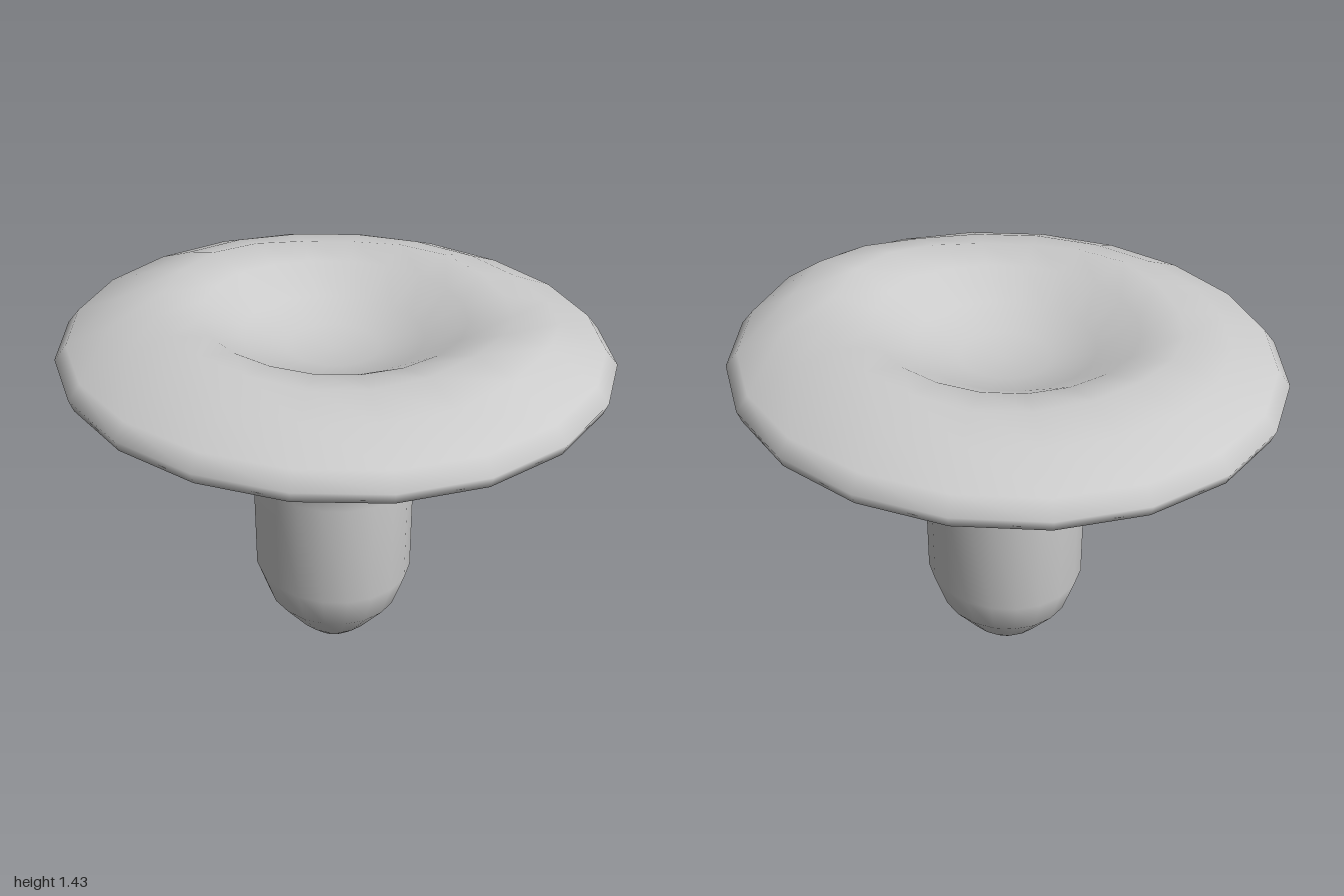
import * as THREE from 'three';
import { mergeVertices } from 'three/addons/utils/BufferGeometryUtils.js';

const SIDES = 20;
const DEPTH = 0.945; // slightly oval plan

// Smooth lathe with an optional height offset by radius and angle
function turned(name, profile, lift = () => 0) {
  let geo = new THREE.LatheGeometry(profile.map(([r, y]) => new THREE.Vector2(r, y)), SIDES);
  geo.deleteAttribute('uv');
  geo.deleteAttribute('normal');
  const p = geo.attributes.position;
  for (let i = 0; i < p.count; i++) {
    const x = p.getX(i), y = p.getY(i), z = p.getZ(i);
    p.setXYZ(i, x, y + lift(Math.hypot(x, z), Math.atan2(z, x), y), z * DEPTH);
  }
  geo = mergeVertices(geo, 1e-4);
  geo.computeVertexNormals();
  const mesh = new THREE.Mesh(geo, new THREE.MeshStandardMaterial({ color: 0xcccccc, side: THREE.DoubleSide }));
  mesh.name = name;
  return mesh;
}

// Gentle four-lobed wave on the crown plus one raised swelling on the left side
function capLift(r, angle, y) {
  const wave = 0.011 * Math.cos(4 * angle) * Math.exp(-(((r - 0.63) / 0.12) ** 2));
  const swell = Math.exp(-(((angle + Math.PI / 10) / 0.42) ** 2));
  const height = r > 0.97 ? 0.016 : 0.055 * Math.exp(-(((r - 0.78) / 0.15) ** 2));
  return y < 1.2 ? 0 : wave + swell * height;
}

export function createModel() {
  const group = new THREE.Group();
  group.name = 'mushroom';

  // Rounded foot, straight stalk and flaring underside
  group.add(turned('stem', [
    [0, 0], [0.09, 0], [0.155, 0.06], [0.262, 0.19], [0.31, 0.33], [0.31, 0.74],
    [0.322, 0.845], [0.365, 0.9], [0.45, 0.96], [0.6, 1.08], [0.75, 1.21], [0.88, 1.285],
  ]));

  // Cap: inner lip, rim, crown ring and hollow centre
  group.add(turned('cap', [
    [0.88, 1.285], [0.93, 1.245], [0.985, 1.213], [1, 1.253], [0.955, 1.305], [0.79, 1.368],
    [0.63, 1.405], [0.48, 1.375], [0.33, 1.295], [0.17, 1.25], [0, 1.24],
  ], capLift));

  return group;
}
